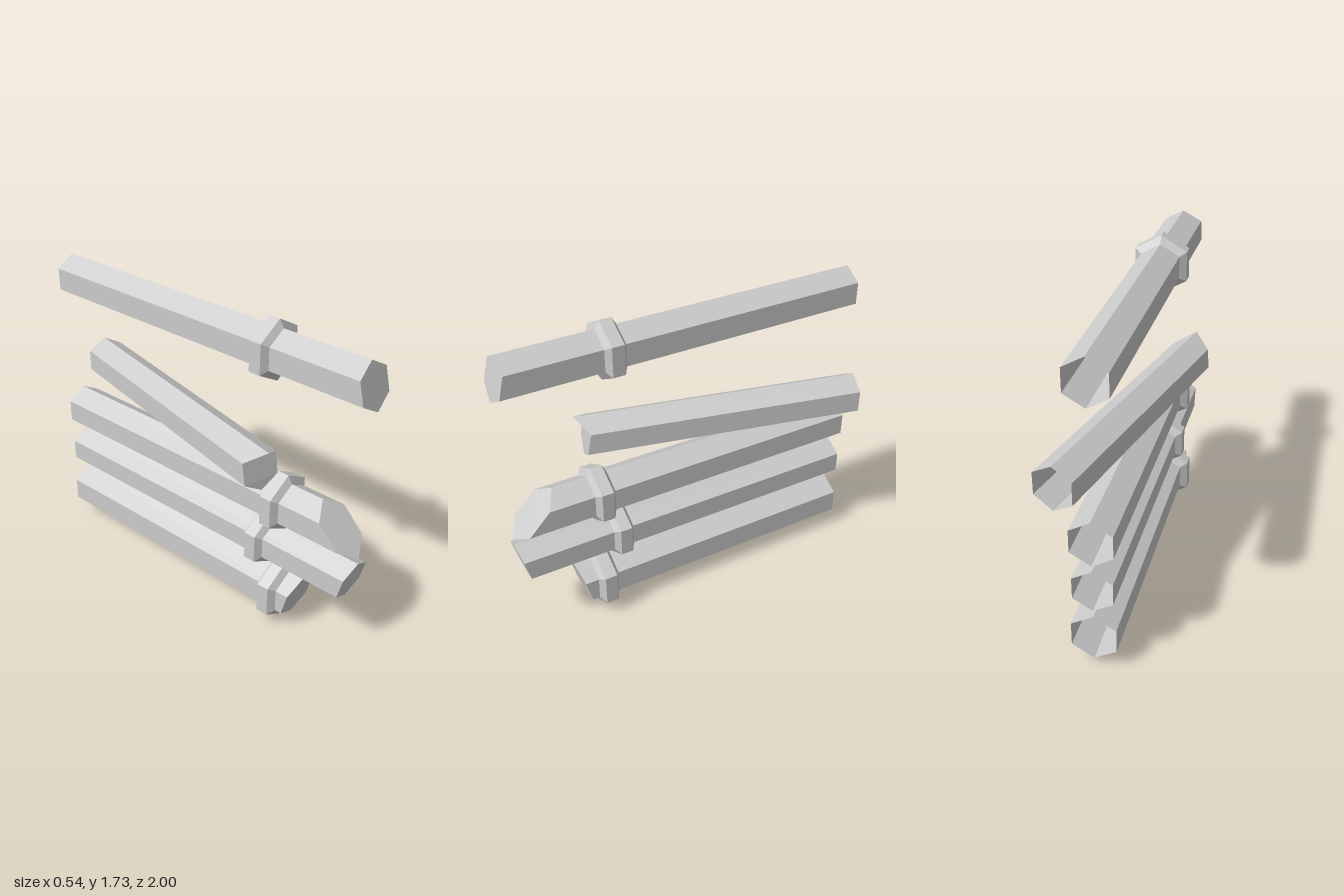
import * as THREE from 'three';

const material = new THREE.MeshStandardMaterial({ color: 0xcccccc, flatShading: true, side: THREE.DoubleSide });

// Six-sided tube along z, open at the back (z = 0) and closed by a cut front.
// cut = front length at the [top, upper, lower, bottom] corners.
function tubeGeometry(r, cut) {
  const front = [], back = [];
  for (let k = 0; k < 6; k++) {
    const a = k * Math.PI / 3, x = r * Math.sin(a), y = r * Math.cos(a);
    front.push([x, y, cut[Math.min(k, 6 - k)]]);
    back.push([x, y, 0]);
  }
  const pos = [];
  const tri = (a, b, c) => pos.push(...a, ...b, ...c);
  for (let k = 0; k < 6; k++) {
    const n = (k + 1) % 6;
    tri(front[k], front[n], back[n]);
    tri(front[k], back[n], back[k]);
  }
  for (const [a, b, c] of [[0, 5, 1], [5, 4, 2], [5, 2, 1], [4, 3, 2]]) tri(front[a], front[b], front[c]);
  const g = new THREE.BufferGeometry();
  g.setAttribute('position', new THREE.Float32BufferAttribute(pos, 3));
  g.computeVertexNormals();
  return g;
}

// Bevelled six-sided band around a tube, centred on its own origin
function collarGeometry(inner, outer, width) {
  const h = width / 2, flat = h * 0.58;
  const profile = [[inner, -h], [outer, -flat], [outer, flat], [inner, h]].map(p => new THREE.Vector2(...p));
  return new THREE.LatheGeometry(profile, 6).rotateX(Math.PI / 2);
}

// Front length at each corner level for a straight slanted cut
const slant = (top, bottom) => [0, 0.25, 0.75, 1].map(t => top + (bottom - top) * t);

export function createModel() {
  const model = new THREE.Group();

  function addTube(name, { x = -0.007, y, z = -1, r, cut, turn = 0, collar }) {
    const group = new THREE.Group();
    group.name = name;
    const tube = new THREE.Mesh(tubeGeometry(r, cut), material);
    tube.name = 'hexTube';
    group.add(tube);
    if (collar) {
      const band = new THREE.Mesh(collarGeometry(r, collar.r, collar.width), material);
      band.name = 'collar';
      band.position.z = collar.z;
      group.add(band);
    }
    group.position.set(x, y, z);
    group.rotation.y = turn;
    model.add(group);
  }

  // Straight collared tubes, top to bottom
  addTube('topTube', { y: 1.575, r: 0.12, cut: slant(1.943, 2), collar: { r: 0.161, z: 1.408, width: 0.113 } });
  addTube('steepCutTube', { y: 0.745, r: 0.123, cut: slant(1.75, 1.985), collar: { r: 0.166, z: 1.504, width: 0.113 } });
  addTube('overhangCutTube', { y: 0.47, r: 0.117, cut: slant(1.985, 1.925), collar: { r: 0.159, z: 1.408, width: 0.113 } });
  addTube('bottomTube', { y: 0.182, r: 0.131, cut: slant(1.668, 1.598), collar: { r: 0.177, z: 1.517, width: 0.118 } });

  // Turned tube with a notched front and no collar
  addTube('turnedTube', {
    x: 0.17, y: 1.009, z: -0.98, r: 0.119,
    cut: [1.56, 1.488, 1.509, 1.515], turn: -13 * Math.PI / 180,
  });

  return model;
}
